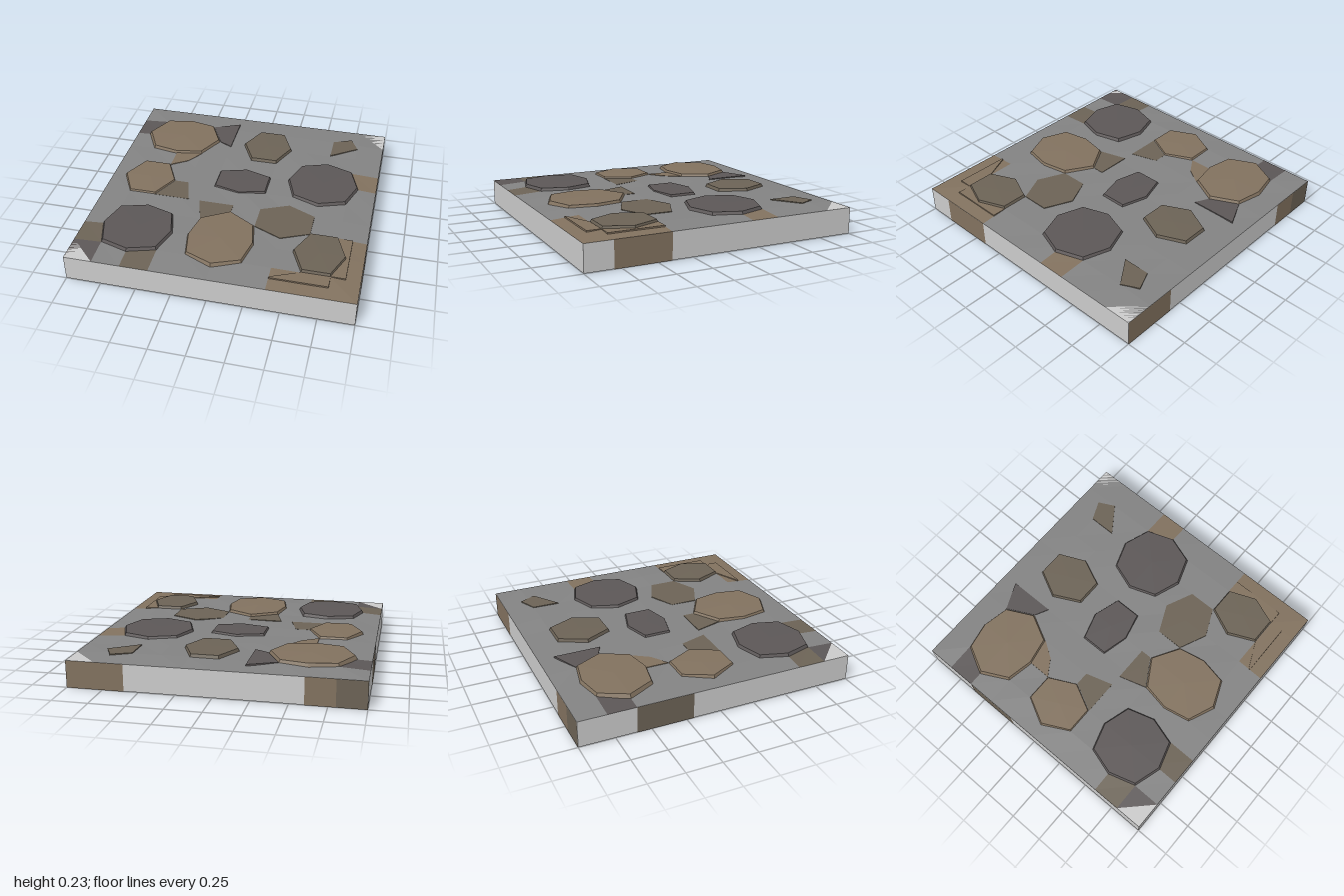
import * as THREE from 'three';

const COLORS = { side: 0xcccccc, ground: 0x838383, brown: 0x82725f, olive: 0x6c6356, dark: 0x5c5757 };
const mats = {};
for (const k in COLORS) {
  mats[k] = new THREE.MeshStandardMaterial({ color: COLORS[k], flatShading: true, roughness: 1 });
}

const N = 10, EDGE = 0.19;

// Ground height at a grid corner: level rim, gently uneven inside
function height(i, j) {
  if (i === 0 || j === 0 || i === N || j === N) return EDGE;
  const s = Math.sin(i * 12.99 + j * 78.23) * 43758.5;
  return 0.199 + 0.008 * (s - Math.floor(s));
}

function facetMesh(name, points, mat) {
  const g = new THREE.BufferGeometry().setFromPoints(points);
  g.computeVertexNormals();
  const m = new THREE.Mesh(g, mat);
  m.name = name;
  return m;
}

// Flat-topped stone from a clockwise outline [x, z], with a sloped rim
function stone(name, outline, top, color, inset = 0.95, dome = 0.003) {
  const n = outline.length, pts = [];
  const cx = outline.reduce((s, p) => s + p[0], 0) / n;
  const cz = outline.reduce((s, p) => s + p[1], 0) / n;
  const ring = (k, y) => outline.map(([x, z]) =>
    new THREE.Vector3(cx + (x - cx) * k, y, cz + (z - cz) * k));
  const low = ring(1, 0.196), high = ring(inset, top);
  const mid = new THREE.Vector3(cx, top + dome, cz);
  for (let i = 0; i < n; i++) {
    const j = (i + 1) % n;
    pts.push(low[i], high[i], high[j], low[i], high[j], low[j], mid, high[j], high[i]);
  }
  return facetMesh(name, pts, mats[color]);
}

export function createModel() {
  const model = new THREE.Group();
  model.name = 'stoneGroundTile';

  // Slab under the ground
  const slab = new THREE.Mesh(new THREE.BoxGeometry(2, EDGE - 0.002, 2), mats.side);
  slab.position.y = EDGE / 2 + 0.001;
  slab.name = 'slab';
  model.add(slab);

  // Uneven top: grid cells sorted by color, [column, row, color]
  const tinted = [
    [0, 1, 'dark'], [0, 9, 'dark'], [0, 8, 'olive'], [2, 9, 'olive'], [9, 3, 'brown'],
    [9, 7, 'brown'], [9, 8, 'brown'], [9, 9, 'brown'], [8, 9, 'brown'], [7, 9, 'brown'],
  ];
  const cells = { ground: [], dark: [], olive: [], brown: [] };
  const corner = (i, j) => new THREE.Vector3(i * 0.2 - 1, height(i, j), j * 0.2 - 1);
  for (let i = 0; i < N; i++) {
    for (let j = 0; j < N; j++) {
      const t = tinted.find(c => c[0] === i && c[1] === j);
      const a = corner(i, j), b = corner(i, j + 1), c = corner(i + 1, j + 1), d = corner(i + 1, j);
      cells[t ? t[2] : 'ground'].push(a, b, c, a, c, d);
    }
  }
  for (const k in cells) model.add(facetMesh(k + 'Surface', cells[k], mats[k]));

  // Raised stones
  const stones = [
    [[[-0.9, -0.6], [-0.8, -0.8], [-0.6, -0.84], [-0.4, -0.8], [-0.3, -0.6], [-0.4, -0.4], [-0.6, -0.36], [-0.8, -0.4]], 0.223, 'brown'],
    [[[-0.1, -0.6], [0, -0.8], [0.2, -0.8], [0.29, -0.6], [0.2, -0.4], [0, -0.4]], 0.223, 'olive'],
    [[[0.33, -0.2], [0.4, -0.4], [0.6, -0.47], [0.8, -0.4], [0.87, -0.2], [0.8, 0], [0.6, 0.07], [0.4, 0]], 0.221, 'dark'],
    [[[-0.2, -0.2], [0, -0.26], [0.2, -0.2], [0.2, 0], [0, 0.05], [-0.2, 0]], 0.215, 'dark'],
    [[[-0.9, 0], [-0.8, -0.2], [-0.6, -0.2], [-0.5, 0], [-0.6, 0.2], [-0.8, 0.2]], 0.218, 'brown'],
    [[[-0.86, 0.6], [-0.8, 0.4], [-0.6, 0.34], [-0.4, 0.4], [-0.34, 0.6], [-0.4, 0.8], [-0.6, 0.86], [-0.8, 0.8]], 0.223, 'dark'],
    [[[-0.24, 0.6], [-0.2, 0.4], [0, 0.28], [0.2, 0.4], [0.24, 0.6], [0.2, 0.8], [0, 0.88], [-0.2, 0.8]], 0.222, 'brown'],
    [[[0.51, 0.6], [0.6, 0.4], [0.8, 0.4], [0.88, 0.6], [0.8, 0.8], [0.6, 0.8]], 0.223, 'olive'],
  ];
  stones.forEach(([o, y, c], i) => model.add(stone('stone' + (i + 1), o, y, c)));

  // Low tinted patches between the stones
  const patches = [
    [[[0.2, 0.2], [0.4, 0.11], [0.6, 0.2], [0.6, 0.4], [0.4, 0.49], [0.2, 0.4]], 'olive'],
    [[[-0.4, -0.8], [-0.2, -0.89], [-0.2, -0.55], [-0.3, -0.6]], 'dark'],
    [[[0.6, -0.8], [0.74, -0.86], [0.8, -0.74], [0.6, -0.6]], 'olive'],
    [[[-0.6, -0.4], [-0.4, -0.4], [-0.48, -0.28], [-0.6, -0.2]], 'brown'],
    [[[-0.5, 0], [-0.4, 0], [-0.34, 0.2], [-0.6, 0.2]], 'olive'],
    [[[-0.26, 0.2], [0, 0.2], [0, 0.28], [-0.2, 0.4]], 'olive'],
    [[[0.8, 0.4], [0.9, 0.4], [0.9, 0.8], [0.8, 0.8]], 'brown'],
    [[[0.4, 0.89], [0.6, 0.8], [0.8, 0.8], [0.8, 0.9], [0.4, 0.9]], 'brown'],
  ];
  patches.forEach(([o, c], i) => model.add(stone('patch' + (i + 1), o, 0.207, c, 0.995, 0)));

  // Flat tinted panels on the sides and underside
  const panel = (name, color, w, h, pos, rot) => {
    const m = new THREE.Mesh(new THREE.PlaneGeometry(w, h), mats[color]);
    m.position.set(...pos);
    m.rotation.set(...rot);
    m.name = name;
    model.add(m);
  };
  const y = EDGE / 2, out = 1.0015;
  panel('rightPanel', 'brown', 0.4, EDGE, [out, y, 0.6], [0, Math.PI / 2, 0]);
  panel('leftPanel', 'olive', 0.4, EDGE, [-out, y, -0.4], [0, -Math.PI / 2, 0]);
  for (const [x, w, c] of [[0.8, 0.4, 'brown'], [-0.7, 0.2, 'brown'], [-0.9, 0.2, 'olive']]) {
    panel('backPanel', c, w, EDGE, [x, y, -out], [0, Math.PI, 0]);
  }

  // Underside patches: x range, z range, color
  const under = [
    [0.6, 1, -0.6, -0.4, 'dark'], [0.4, 0.8, -0.4, -0.2, 'dark'],
    [0, 0.4, -1, -0.6, 'olive'], [-0.6, -0.2, -0.8, -0.6, 'dark'],
    [-1, -0.6, -1, -0.8, 'olive'], [-1, -0.6, -0.8, -0.4, 'olive'],
    [-0.8, 0, -0.4, 0, 'olive'], [0.2, 0.6, 0, 0.6, 'olive'],
    [0.6, 1, 0.4, 1, 'olive'], [0.8, 1, 0.2, 0.4, 'olive'],
    [-0.6, -0.2, 0.4, 0.8, 'dark'], [-0.8, -0.6, 0.4, 0.6, 'dark'],
    [-1, -0.8, 0.6, 0.8, 'olive'],
  ];
  for (const [x0, x1, z0, z1, c] of under) {
    panel('undersidePatch', c, x1 - x0, z1 - z0, [(x0 + x1) / 2, 0, (z0 + z1) / 2], [Math.PI / 2, 0, 0]);
  }
  return model;
}
